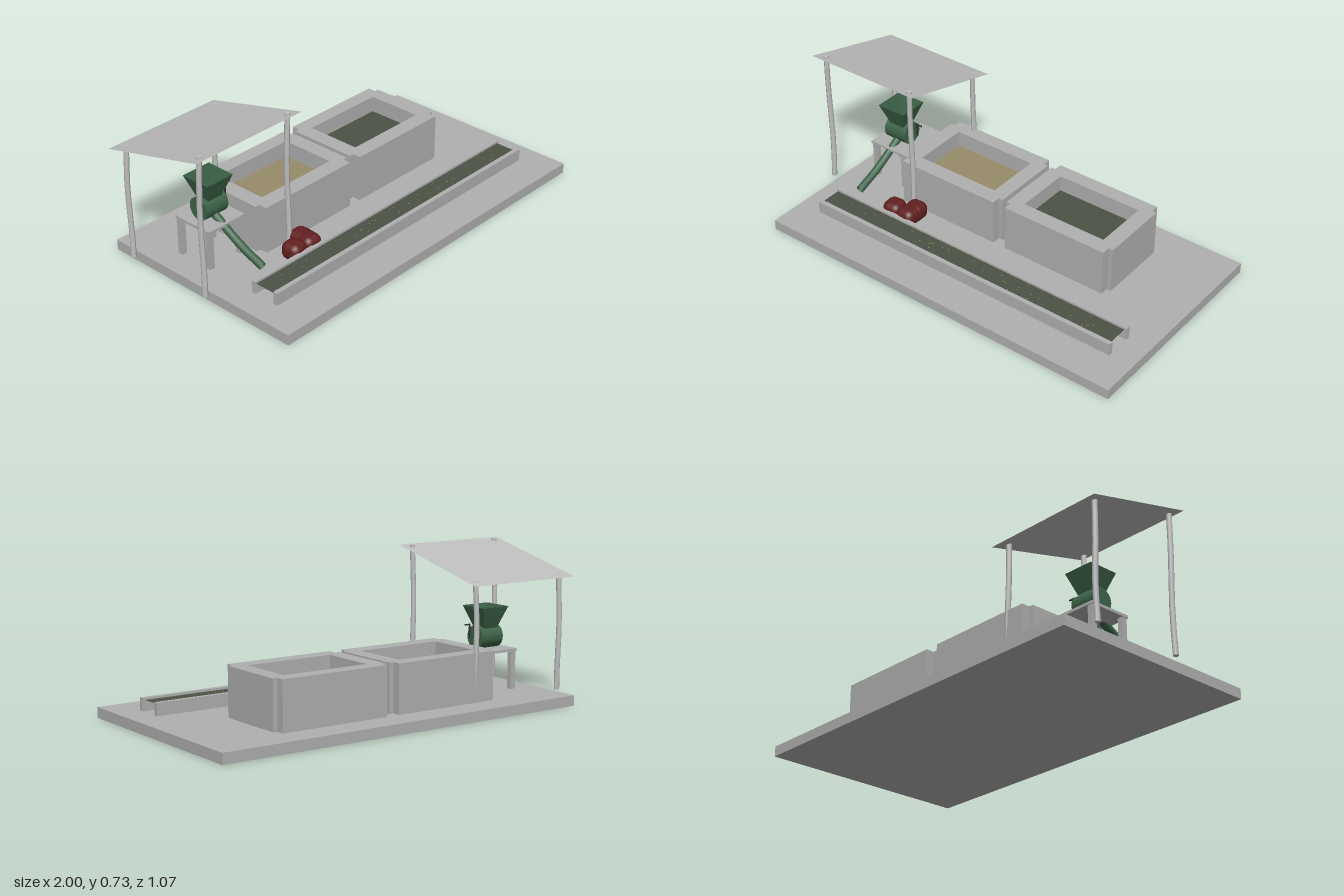
import * as THREE from 'three';
import { RoundedBoxGeometry } from 'three/addons/geometries/RoundedBoxGeometry.js';

const mat = (name, color, side = THREE.FrontSide) => {
  const m = new THREE.MeshStandardMaterial({ color, side });
  m.name = name;
  return m;
};

export function createModel() {
  const root = new THREE.Group();
  root.name = 'processingYard';
  const concrete = mat('concrete', 0xb0b0b0);
  const metal = mat('galvanisedMetal', 0xbdbdbd, THREE.DoubleSide);
  const green = mat('millGreen', 0x3d6348, THREE.DoubleSide);
  const dark = mat('darkIron', 0x303030);
  const red = mat('sackRed', 0x621f1f);
  const slurry = mat('greenSlurry', 0x4b5245, THREE.DoubleSide);
  const ochre = mat('ochreSlurry', 0x978c69, THREE.DoubleSide);
  const gold = mat('goldSpeck', 0xb89a3a, THREE.DoubleSide);

  const add = (name, geo, material, parent = root) => {
    const m = new THREE.Mesh(geo, material);
    m.name = name;
    parent.add(m);
    return m;
  };
  const group = (name) => {
    const g = new THREE.Group();
    g.name = name;
    root.add(g);
    return g;
  };
  // box given by its limits
  const box = (name, x0, x1, y0, y1, z0, z1, material, parent) => {
    const m = add(name, new THREE.BoxGeometry(x1 - x0, y1 - y0, z1 - z0), material, parent);
    m.position.set((x0 + x1) / 2, (y0 + y1) / 2, (z0 + z1) / 2);
    return m;
  };
  // flat horizontal sheet
  const sheet = (name, x0, x1, z0, z1, y, material, parent) => {
    const m = add(name, new THREE.PlaneGeometry(x1 - x0, z1 - z0).rotateX(-Math.PI / 2), material, parent);
    m.position.set((x0 + x1) / 2, y, (z0 + z1) / 2);
    return m;
  };

  box('groundSlab', -0.915, 1, 0, 0.05, -0.535, 0.535, concrete);

  // two settling tanks: long walls, slightly projecting end walls, liquid
  const tank = (name, x, liquid) => {
    const g = group(name);
    for (const [z0, z1] of [[-0.396, -0.322], [-0.043, 0.035]])
      box('longWall', x - 0.272, x + 0.272, 0.05, 0.28, z0, z1, concrete, g);
    for (const s of [-1, 1]) {
      const a = x + s * 0.218, b = x + s * 0.294;
      box('endWall', Math.min(a, b), Math.max(a, b), 0.05, 0.2798, -0.356, -0.006, concrete, g);
    }
    sheet('liquid', x - 0.22, x + 0.22, -0.325, -0.04, 0.2, liquid, g);
  };
  tank('leftTank', 0.347, slurry);
  tank('rightTank', -0.264, ochre);

  // sluice channel with specks
  const sluice = group('sluice');
  box('backRail', -0.795, 0.88, 0.05, 0.11, 0.203, 0.226, concrete, sluice);
  box('frontRail', -0.795, 0.88, 0.05, 0.11, 0.332, 0.355, concrete, sluice);
  sheet('sluiceBed', -0.79, 0.868, 0.226, 0.332, 0.1, slurry, sluice);
  let seed = 7;
  const rnd = () => (seed = (seed * 16807) % 2147483647) / 2147483647;
  for (let i = 0; i < 36; i++) {
    const x = -0.77 + rnd() * 1.62, z = 0.233 + rnd() * 0.09;
    sheet('speck', x, x + 0.005, z, z + 0.005, 0.102, gold, sluice);
  }

  // canopy: sloping thin roof on slightly crooked poles
  const canopy = group('canopy');
  const slope = Math.atan2(0.14, 0.555);
  const roof = add('roof', new THREE.PlaneGeometry(0.61, Math.hypot(0.14, 0.555)).rotateX(-Math.PI / 2), metal, canopy);
  roof.position.set(-0.695, 0.66, -0.157);
  roof.rotation.x = -slope;
  for (const x of [-0.95, -0.44])
    for (const [z, top] of [[0.077, 0.729], [-0.383, 0.604]]) {
      const h = top - 0.05;
      const geo = new THREE.CylinderGeometry(0.0125, 0.013, h, 10, 6);
      const p = geo.attributes.position;
      for (let i = 0; i < p.count; i++) {
        const t = p.getY(i) / h + 0.5;
        p.setX(i, p.getX(i) + 0.003 * Math.sin(t * 7));
        p.setZ(i, p.getZ(i) + 0.004 * Math.sin(t * 5 + 2.5));
      }
      geo.computeVertexNormals();
      add('pole', geo, metal, canopy).position.set(x, 0.05 + h / 2, z);
    }

  // table
  const table = group('table');
  box('tableTop', -0.804, -0.59, 0.232, 0.245, -0.257, -0.043, concrete, table);
  for (const x of [-0.787, -0.608])
    for (const z of [-0.24, -0.061])
      box('tableLeg', x - 0.013, x + 0.013, 0.05, 0.232, z - 0.013, z + 0.013, concrete, table);

  // mill: drum, square open hopper, crank and discharge pipe
  const mill = group('mill');
  add('drum', new THREE.CylinderGeometry(0.055, 0.055, 0.126, 32).rotateZ(Math.PI / 2), green, mill)
    .position.set(-0.698, 0.3, -0.151);
  const hopper = new THREE.CylinderGeometry(0.076 * Math.SQRT2, 0.039 * Math.SQRT2, 0.102, 4, 1, true)
    .rotateY(Math.PI / 4).toNonIndexed();
  hopper.computeVertexNormals();
  add('hopper', hopper, green, mill).position.set(-0.698, 0.394, -0.151);
  box('crankArm', -0.604, -0.598, 0.302, 0.367, -0.154, -0.148, dark, mill);
  box('crankHandle', -0.6, -0.571, 0.361, 0.367, -0.154, -0.148, dark, mill);
  const path = new THREE.CatmullRomCurve3([
    new THREE.Vector3(-0.698, 0.262, -0.12),
    new THREE.Vector3(-0.698, 0.17, 0.04),
    new THREE.Vector3(-0.698, 0.118, 0.17),
  ]);
  add('dischargePipe', new THREE.TubeGeometry(path, 12, 0.019, 16), green, mill);

  // plump sacks beside the sluice
  const sacks = group('sacks');
  for (const [x, z, turn] of [[-0.488, 0.157, 0.1], [-0.4, 0.159, -0.08], [-0.398, 0.112, 0.05]]) {
    const s = add('sack', new RoundedBoxGeometry(0.098, 0.086, 0.1, 5, 0.036), red, sacks);
    s.position.set(x, 0.098, z);
    s.rotation.y = turn;
  }
  return root;
}
